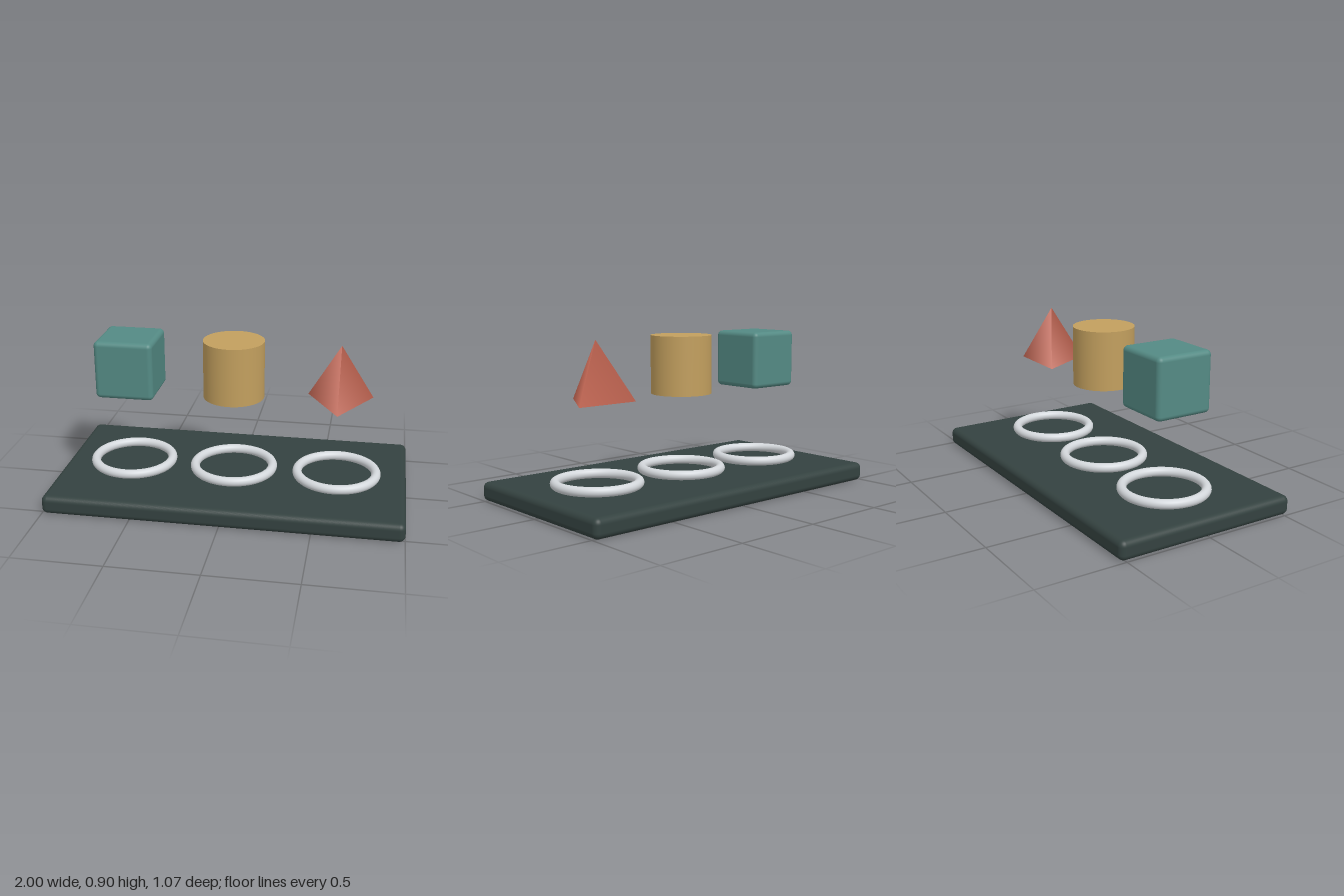
import * as THREE from 'three';
import { RoundedBoxGeometry } from 'three/addons/geometries/RoundedBoxGeometry.js';

export function createModel() {
  const group = new THREE.Group();
  const material = (name, color) => {
    const m = new THREE.MeshStandardMaterial({ color });
    m.name = name;
    return m;
  };
  const slate = material('dark slate', 0x344240);
  const silver = material('silver', 0xd3d7db);
  const teal = material('teal', 0x548a84);
  const gold = material('gold', 0xc29f5e);
  const red = material('brick red', 0xbe6350);

  const add = (name, geometry, mat, x, y) => {
    const mesh = new THREE.Mesh(geometry, mat);
    mesh.name = name;
    mesh.position.set(x, y, 0);
    group.add(mesh);
    return mesh;
  };

  const baseHeight = 0.107, tube = 0.0267, spacing = 0.6;
  const solidSize = 0.333, solidY = 0.733;

  // Rounded slab
  add('base', new RoundedBoxGeometry(2, baseHeight, 1.067, 5, 0.033), slate, 0, baseHeight / 2);

  // Three rings resting on the slab
  ['rightRing', 'middleRing', 'leftRing'].forEach((name, i) => {
    const ring = new THREE.TorusGeometry(0.2267, tube, 20, 72).rotateX(Math.PI / 2);
    add(name, ring, silver, (i - 1) * spacing, baseHeight + tube);
  });

  // Solids floating above the rings
  add('cube', new RoundedBoxGeometry(solidSize, solidSize, solidSize, 5, 0.027), teal, -spacing, solidY);
  add('cylinder', new THREE.CylinderGeometry(0.1733, 0.1733, solidSize, 48), gold, 0, solidY);
  // Three-sided pyramid with one corner toward the front
  add('pyramid', new THREE.ConeGeometry(0.2133, solidSize, 3), red, spacing, solidY);

  return group;
}
